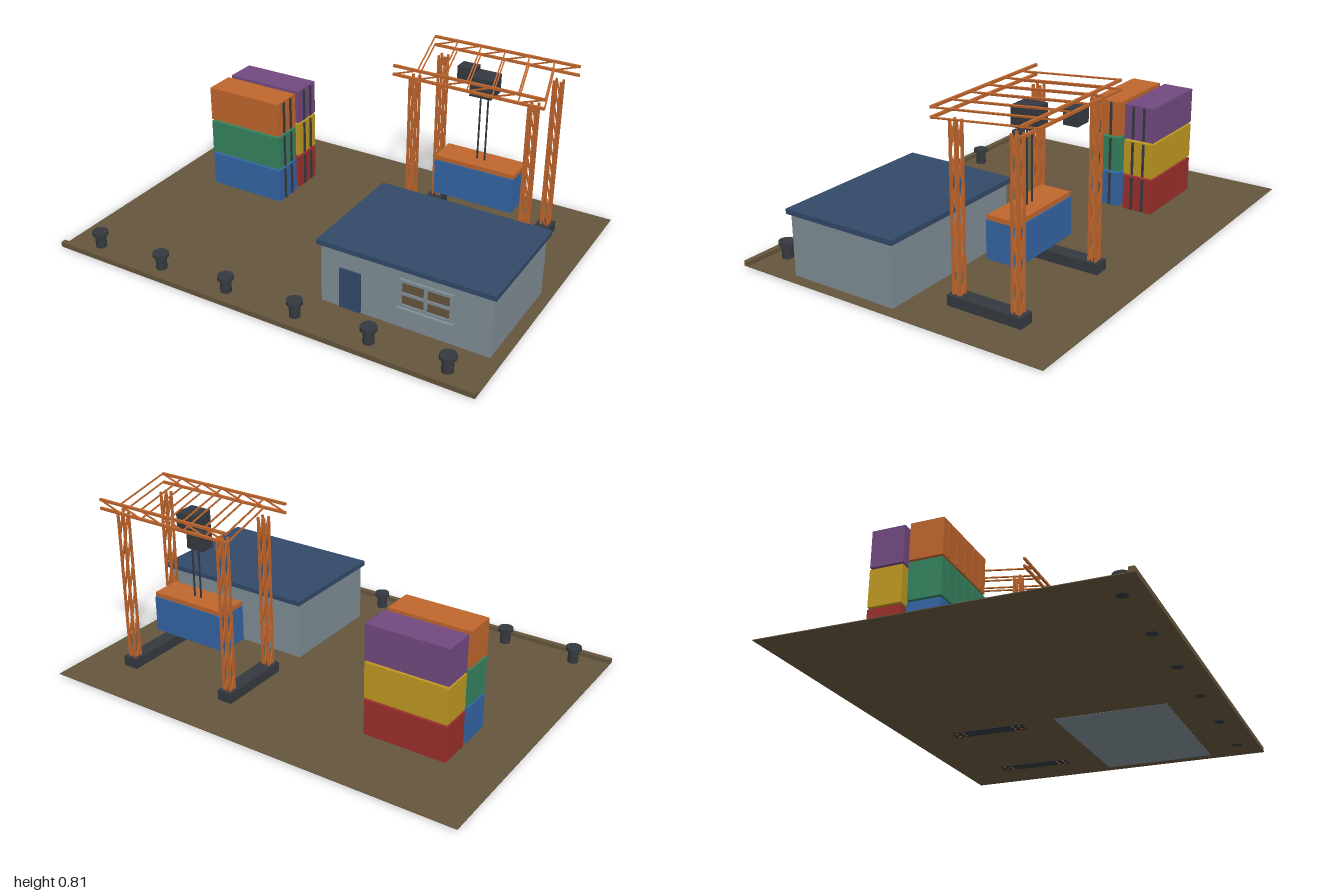
import * as THREE from 'three';

const mat = (name, color) => {
  const m = new THREE.MeshStandardMaterial({ color });
  m.name = name;
  return m;
};

export function createModel() {
  const brown = mat('brown', 0x65563d), orange = mat('orange', 0xc0662d), blue = mat('blue', 0x3465a4),
    green = mat('green', 0x35835f), purple = mat('purple', 0x724a80), red = mat('red', 0x9a302c),
    yellow = mat('yellow', 0xbf9922), navy = mat('navy', 0x334a69), grey = mat('blue grey', 0x808d95),
    dark = mat('charcoal', 0x353a40);

  const model = new THREE.Group();
  model.name = 'dockyard';
  const group = (name, parent = model) => {
    const g = new THREE.Group();
    g.name = name;
    parent.add(g);
    return g;
  };
  // Box given by its limits on each axis
  const box = (parent, name, material, [x0, x1], [y0, y1], [z0, z1]) => {
    const m = new THREE.Mesh(new THREE.BoxGeometry(x1 - x0, y1 - y0, z1 - z0), material);
    m.position.set((x0 + x1) / 2, (y0 + y1) / 2, (z0 + z1) / 2);
    m.name = name;
    parent.add(m);
    return m;
  };
  // Square bar between two points
  const bar = (parent, name, material, a, b, t) => {
    const dir = b.clone().sub(a);
    const m = new THREE.Mesh(new THREE.BoxGeometry(t, dir.length(), t), material);
    m.position.copy(a).add(b).multiplyScalar(0.5);
    m.quaternion.setFromUnitVectors(new THREE.Vector3(0, 1, 0), dir.normalize());
    m.name = name;
    parent.add(m);
  };
  // Four chords along local x, with one diagonal per bay on each side
  const lattice = (parent, name, length, halfH, halfW, bays, chord, brace) => {
    const g = group(name, parent);
    const P = (x, y, z) => new THREE.Vector3(x, y * halfH, z * halfW);
    const h = length / 2, step = length / bays;
    for (const s of [-1, 1]) {
      for (const t of [-1, 1]) bar(g, 'chord', orange, P(-h, s, t), P(h, s, t), chord);
      for (let i = 0; i < bays; i++) {
        const a = -h + i * step, b = a + step;
        bar(g, 'sideBrace', orange, P(a, -1, s), P(b, 1, s), brace);
        bar(g, 'crossBrace', orange, P(a, s, -1), P(b, s, 1), brace);
      }
    }
    return g;
  };

  // Quay deck with kerb
  box(model, 'deck', brown, [-1, 1], [0.004, 0.007], [-0.733, 0.733]);
  box(model, 'kerb', brown, [-1, 1], [0.006, 0.027], [0.709, 0.733]);

  // Mooring bollards
  for (let i = 0; i < 6; i++) {
    const g = group('bollard');
    g.position.set(-0.85 + i * 0.339, 0, 0.641);
    const post = new THREE.Mesh(new THREE.CylinderGeometry(0.024, 0.024, 0.066, 16), dark);
    post.position.y = 0.036;
    post.name = 'bollardPost';
    const cap = new THREE.Mesh(new THREE.CylinderGeometry(0.035, 0.035, 0.016, 16), dark);
    cap.position.y = 0.075;
    cap.name = 'bollardCap';
    g.add(post, cap);
  }

  // Stacked containers with ribbed sides and door rods
  const stack = (name, zc, colours) => {
    const g = group(name);
    colours.forEach((c, i) => {
      const y0 = 0.01 + i * 0.17, y1 = y0 + 0.161;
      box(g, 'container', c, [-0.767, -0.39], [y0, y1], [zc - 0.072, zc + 0.072]);
      for (let k = 0; k < 5; k++) {
        const x = -0.72 + k * 0.072;
        box(g, 'sideRibs', c, [x - 0.006, x + 0.006], [y0 + 0.008, y1 - 0.008], [zc - 0.075, zc + 0.075]);
      }
      for (const s of [-1, 1]) {
        const z = zc + s * 0.027;
        box(g, 'doorRod', dark, [-0.391, -0.383], [y0 + 0.004, y1 - 0.004], [z - 0.005, z + 0.005]);
      }
    });
  };
  stack('frontStack', -0.158, [blue, green, orange]);
  stack('backStack', -0.327, [red, yellow, purple]);

  // Office
  const office = group('office');
  box(office, 'walls', grey, [0.2, 0.95], [0.003, 0.278], [-0.019, 0.49]);
  box(office, 'roof', navy, [0.186, 0.964], [0.277, 0.299], [-0.038, 0.505]);
  box(office, 'door', navy, [0.287, 0.384], [0.008, 0.193], [0.489, 0.497]);
  box(office, 'windowGlass', brown, [0.565, 0.785], [0.115, 0.232], [0.489, 0.496]);
  for (const x of [0.564, 0.674, 0.784]) {
    box(office, 'windowUpright', grey, [x - 0.007, x + 0.007], [0.112, 0.237], [0.489, 0.502]);
  }
  for (const y of [0.119, 0.174, 0.231]) {
    box(office, 'windowRail', grey, [0.558, 0.79], [y - 0.006, y + 0.006], [0.489, 0.502]);
  }
  box(office, 'windowSill', grey, [0.553, 0.797], [0.104, 0.113], [0.489, 0.515]);

  // Gantry crane
  const crane = group('gantryCrane');
  for (const x of [0.238, 0.778]) {
    box(crane, 'craneBase', dark, [x - 0.035, x + 0.035], [0.002, 0.053], [-0.514, -0.172]);
    for (const z of [-0.207, -0.478]) {
      const leg = lattice(crane, 'craneLeg', 0.75, 0.0155, 0.0155, 6, 0.009, 0.006);
      leg.rotation.z = Math.PI / 2;
      leg.position.set(x, 0.375, z);
    }
  }
  const girder = lattice(crane, 'craneGirder', 0.68, 0.0195, 0.195, 6, 0.011, 0.006);
  girder.position.set(0.505, 0.784, -0.343);

  // Trolley, cab, cables and hanging load
  box(crane, 'trolley', dark, [0.455, 0.555], [0.675, 0.762], [-0.393, -0.292]);
  box(crane, 'cab', dark, [0.33, 0.411], [0.67, 0.735], [-0.496, -0.432]);
  for (const x of [0.487, 0.522]) {
    box(crane, 'cable', dark, [x - 0.003, x + 0.003], [0.36, 0.68], [-0.346, -0.34]);
  }
  box(crane, 'spreader', orange, [0.317, 0.69], [0.343, 0.363], [-0.41, -0.275]);
  box(crane, 'hangingContainer', blue, [0.317, 0.69], [0.18, 0.342], [-0.415, -0.271]);

  return model;
}
